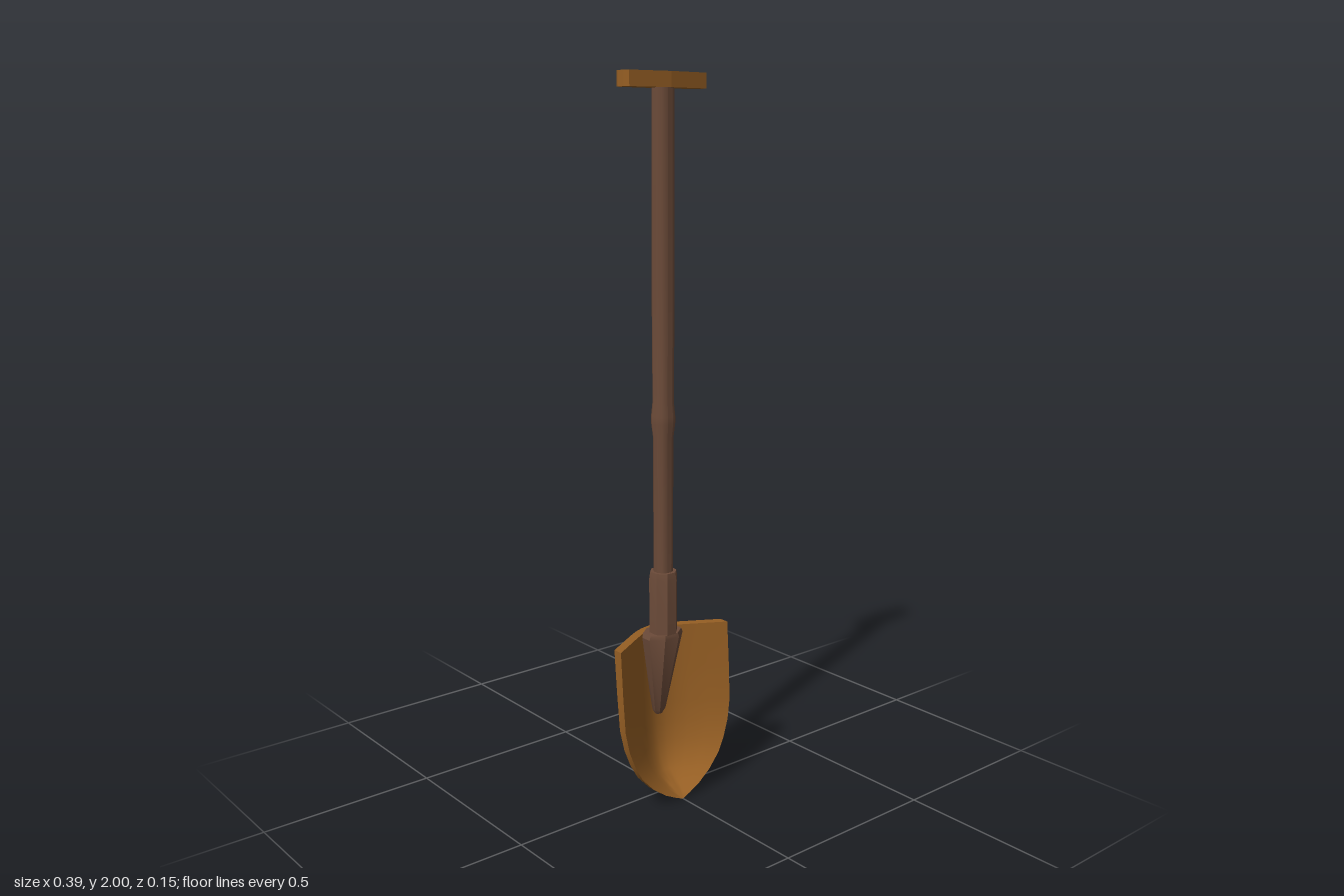
import * as THREE from 'three';
import { toCreasedNormals } from 'three/addons/utils/BufferGeometryUtils.js';

const AXIS_Z = -0.013; // shaft axis

function lathe(points, sides, crease) {
  const profile = points.map(([r, y]) => new THREE.Vector2(r, y));
  const g = new THREE.LatheGeometry(profile, sides, Math.PI / sides);
  return toCreasedNormals(g.toNonIndexed(), crease);
}

// Closed dished plate: a front and a back skin joined along the rim
function bladeGeometry() {
  // y, half width, depth of the dish
  const rows = [
    [0.48, 0.193, 0.09], [0.36, 0.193, 0.096], [0.25, 0.191, 0.1], [0.19, 0.18, 0.102],
    [0.14, 0.162, 0.1], [0.1, 0.14, 0.094], [0.06, 0.103, 0.079], [0.03, 0.062, 0.048],
    [0.012, 0.026, 0.02], [0.002, 0.002, 0],
  ];
  // fraction of the half width, fraction of the depth
  const half = [[0, 1], [0.16, 0.94], [0.31, 0.83], [0.47, 0.65], [0.73, 0.33], [1, 0]];
  const cols = [...half.slice(1).reverse().map(([u, d]) => [-u, d]), ...half];
  const n = cols.length, size = rows.length * n;
  const pos = [], idx = [];
  for (const back of [0, 1]) {
    for (const [y, w, depth] of rows) {
      const t = 1 - y / 0.48;
      const rim = back ? 0.013 + 0.04 * t : 0.042 + 0.033 * t;
      for (const [u, d] of cols) pos.push(u * w, y, rim - depth * d);
    }
  }
  const quad = (a, b, c, d) => idx.push(a, b, c, a, c, d);
  for (let r = 0; r < rows.length - 1; r++) {
    for (let c = 0; c < n - 1; c++) {
      const a = r * n + c, b = a + n;
      quad(a, b, b + 1, a + 1);
      quad(a + size, a + 1 + size, b + 1 + size, b + size);
    }
    const l = r * n, k = l + n - 1;
    quad(l, l + size, l + n + size, l + n);
    quad(k, k + n, k + n + size, k + size);
  }
  const last = (rows.length - 1) * n;
  for (let c = 0; c < n - 1; c++) {
    quad(c, c + 1, c + 1 + size, c + size);
    quad(last + c, last + c + size, last + c + 1 + size, last + c + 1);
  }
  const g = new THREE.BufferGeometry();
  g.setAttribute('position', new THREE.Float32BufferAttribute(pos, 3));
  g.setIndex(idx);
  return toCreasedNormals(g.toNonIndexed(), 0.6);
}

export function createModel() {
  const model = new THREE.Group();
  model.name = 'shovel';
  const orangeBrown = new THREE.MeshStandardMaterial({ name: 'orangeBrown', color: 0x965f24 });
  const darkWood = new THREE.MeshStandardMaterial({ name: 'darkWood', color: 0x6c4b39 });

  const add = (name, geometry, material, z = 0) => {
    const mesh = new THREE.Mesh(geometry, material);
    mesh.name = name;
    mesh.position.z = z;
    model.add(mesh);
    return mesh;
  };

  add('blade', bladeGeometry(), orangeBrown);

  // Shaft with a slight knot halfway up
  add('shaft', lathe([
    [0, 0.5], [0.027, 0.5], [0.028, 1.04], [0.033, 1.08], [0.033, 1.1], [0.029, 1.14],
    [0.031, 1.45], [0.03, 1.97], [0, 1.97],
  ], 12, 0.7), darkWood, AXIS_Z);

  // Eight-sided collar around the foot of the shaft
  add('collar', lathe([[0, 0.46], [0.04, 0.46], [0.041, 0.64], [0.038, 0.66], [0, 0.66]], 8, 0.5), darkWood, AXIS_Z);

  // Tapered socket running down the inside of the blade, leaning with the dish
  const socket = lathe([
    [0, 0.225], [0.012, 0.228], [0.021, 0.242], [0.065, 0.47], [0.06, 0.482], [0, 0.482],
  ], 8, 0.5);
  const p = socket.attributes.position;
  for (let i = 0; i < p.count; i++) {
    p.setZ(i, p.getZ(i) * 0.75 - (0.48 - p.getY(i)) * 0.06);
  }
  socket.deleteAttribute('normal');
  add('socket', toCreasedNormals(socket, 0.5), darkWood, -0.018);

  // Cross grip, thicker in the middle, with clipped ends
  const outline = [
    [0, 0.038], [0.128, 0.026], [0.135, 0.012], [0.135, -0.012], [0.128, -0.026],
    [0, -0.038], [-0.128, -0.026], [-0.135, -0.012], [-0.135, 0.012], [-0.128, 0.026],
  ].map(([x, y]) => new THREE.Vector2(x, y));
  const grip = new THREE.ExtrudeGeometry(new THREE.Shape(outline), { depth: 0.04, bevelEnabled: false });
  grip.rotateX(-Math.PI / 2).translate(0, 1.96, 0);
  add('grip', grip, orangeBrown, -0.016);

  return model;
}
